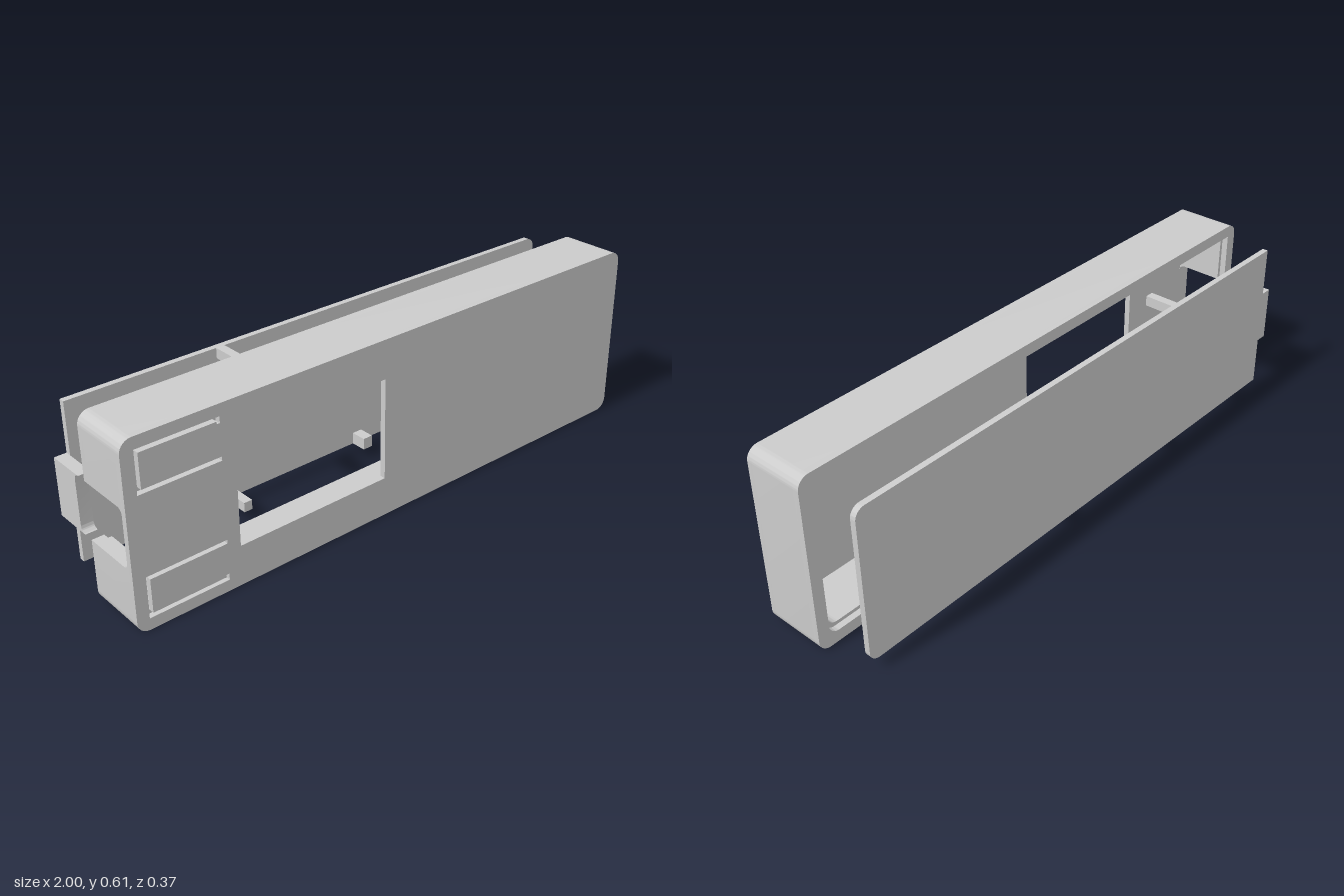
import * as THREE from 'three';
import { toCreasedNormals } from 'three/addons/utils/BufferGeometryUtils.js';

const H = 0.613, MID = H / 2, R = 0.04;      // case height, middle, corner radius
const BACK = -0.021, LEDGE = 0, INNER = 0.167, FRONT = 0.187; // case z levels
const N0 = 0.21, N1 = 0.402;                 // socket notch, from y to y
const Q = Math.PI / 2;

export function createModel() {
  const model = new THREE.Group();
  const material = new THREE.MeshStandardMaterial({ color: 0xcccccc });

  const add = (parent, name, geometry) => {
    const mesh = new THREE.Mesh(toCreasedNormals(geometry, 0.6), material);
    mesh.name = name;
    parent.add(mesh);
  };
  const group = (name) => {
    const g = new THREE.Group();
    g.name = name;
    model.add(g);
    return g;
  };
  const extrude = (shape, depth) =>
    new THREE.ExtrudeGeometry(shape, { depth, bevelEnabled: false, curveSegments: 10 });
  // profile in x, y extruded from z0 to z1
  const alongZ = (shape, z0, z1) => extrude(shape, z1 - z0).translate(0, 0, z0);
  // profile in z, y extruded from x0 to x1
  const alongX = (shape, x0, x1) => extrude(shape, x1 - x0).rotateY(-Q).translate(x1, 0, 0);
  // profile in x, z extruded from y0 to y1
  const alongY = (shape, y0, y1) => extrude(shape, y1 - y0).rotateX(Q).translate(0, y1, 0);
  const poly = (pts) => new THREE.Shape(pts.map(([x, y]) => new THREE.Vector2(x, y)));
  const rect = (x0, y0, x1, y1) => poly([[x0, y0], [x1, y0], [x1, y1], [x0, y1]]);

  // ---- Case ----
  const body = group('case');

  // Front plate with the display window and two flexible buttons
  const plate = new THREE.Shape();
  plate.absarc(1 - R, R, R, -Q, 0);
  plate.absarc(1 - R, H - R, R, 0, Q);
  plate.absarc(-1 + R, H - R, R, Q, 2 * Q);
  plate.absarc(-1 + R, R, R, 2 * Q, 3 * Q);
  plate.holes.push(rect(-0.645, 0.135, -0.09, 0.482));
  for (const s of [1, -1]) {
    plate.holes.push(poly([
      [-0.69, 0.268], [-0.96, 0.268], [-0.96, 0.13], [-0.69, 0.13], [-0.69, 0.143],
      [-0.947, 0.143], [-0.947, 0.255], [-0.7, 0.255], [-0.7, 0.247], [-0.69, 0.247],
    ].map(([x, d]) => [x, MID + s * d])));
  }
  add(body, 'frontPlate', alongZ(plate, INNER, FRONT));

  // Side walls of thickness w, open at the socket notch
  const walls = (name, w, z0, z1, slotted) => {
    const r = 0.035, e = 1 - R, b = e - 0.03;
    const main = new THREE.Shape();
    main.absarc(e, R, R, -Q, 0);
    main.absarc(e, H - R, R, 0, Q);
    main.absarc(-e, H - R, R, Q, 2 * Q);
    main.lineTo(-1, N1);
    main.lineTo(-1 + w, N1);
    main.lineTo(-1 + w, H - w);
    main.absarc(1 - w - r, H - w - r, r, Q, 0, true);
    main.absarc(1 - w - r, w + r, r, 0, -Q, true);
    main.lineTo(b, w);
    main.lineTo(b, 0);
    add(body, name, alongZ(main, z0, z1));

    const corner = new THREE.Shape();
    corner.absarc(-e, R, R, 2 * Q, 3 * Q);
    corner.lineTo(-b, 0);
    corner.lineTo(-b, w);
    corner.lineTo(-1 + w, w);
    corner.lineTo(-1 + w, N0);
    corner.lineTo(-1, N0);
    add(body, name + 'Corner', alongZ(corner, z0, z1));

    const bottom = rect(-b, z0, b, z1);
    if (slotted) {
      const slot = new THREE.Path();
      slot.absarc(-0.698, 0.144, 0.014, -Q, Q);
      slot.absarc(-0.734, 0.144, 0.014, Q, 3 * Q);
      bottom.holes.push(slot);
    }
    add(body, name + 'Bottom', alongY(bottom, 0, w));
  };
  walls('rim', 0.04, BACK, LEDGE, false);
  walls('wall', 0.052, LEDGE, INNER, true);

  // Rounded inner corners of the socket opening
  for (const [y, s] of [[N0, 1], [N1, -1]]) {
    const fillet = new THREE.Shape();
    fillet.moveTo(INNER, y);
    fillet.lineTo(INNER, y + s * 0.02);
    fillet.absarc(INNER - 0.02, y + s * 0.02, 0.02, 0, -s * Q, s > 0);
    add(body, 'socketFillet', alongX(fillet, -1, -0.948));
  }

  // ---- Lid, set off behind the case ----
  const lid = group('lid');
  const L0 = -0.187, L1 = -0.167, Y0 = 0.04, Y1 = 0.573, LR = 0.035;
  const panel = new THREE.Shape();
  panel.absarc(0.957 - LR, Y0 + LR, LR, -Q, 0);
  panel.absarc(0.957 - LR, Y1 - LR, LR, 0, Q);
  panel.lineTo(-0.96, Y1);
  panel.lineTo(-0.96, Y0);
  add(lid, 'lidPanel', alongZ(panel, L0, L1));

  // Tab that closes the socket notch, with a hollowed front edge
  const tab = new THREE.Shape();
  tab.moveTo(L0, N0);
  tab.lineTo(-0.055, N0);
  tab.absarc(-0.055, N0 + 0.02, 0.02, -Q, -2 * Q, true);
  tab.absarc(-0.055, N1 - 0.02, 0.02, 2 * Q, Q, true);
  tab.lineTo(L0, N1);
  add(lid, 'socketTab', alongX(tab, -1, -0.96));

  // Posts: x from, x to, y from, y to, front z
  for (const [x0, x1, y0, y1, z1] of [
    [-0.45, -0.42, Y0, 0.074, -0.066],
    [-0.45, -0.42, 0.539, Y1, -0.066],
    [0.085, 0.122, Y0, 0.081, -0.111],
  ]) add(lid, 'lidPost', alongZ(rect(x0, y0, x1, y1), L1, z1));

  return model;
}
